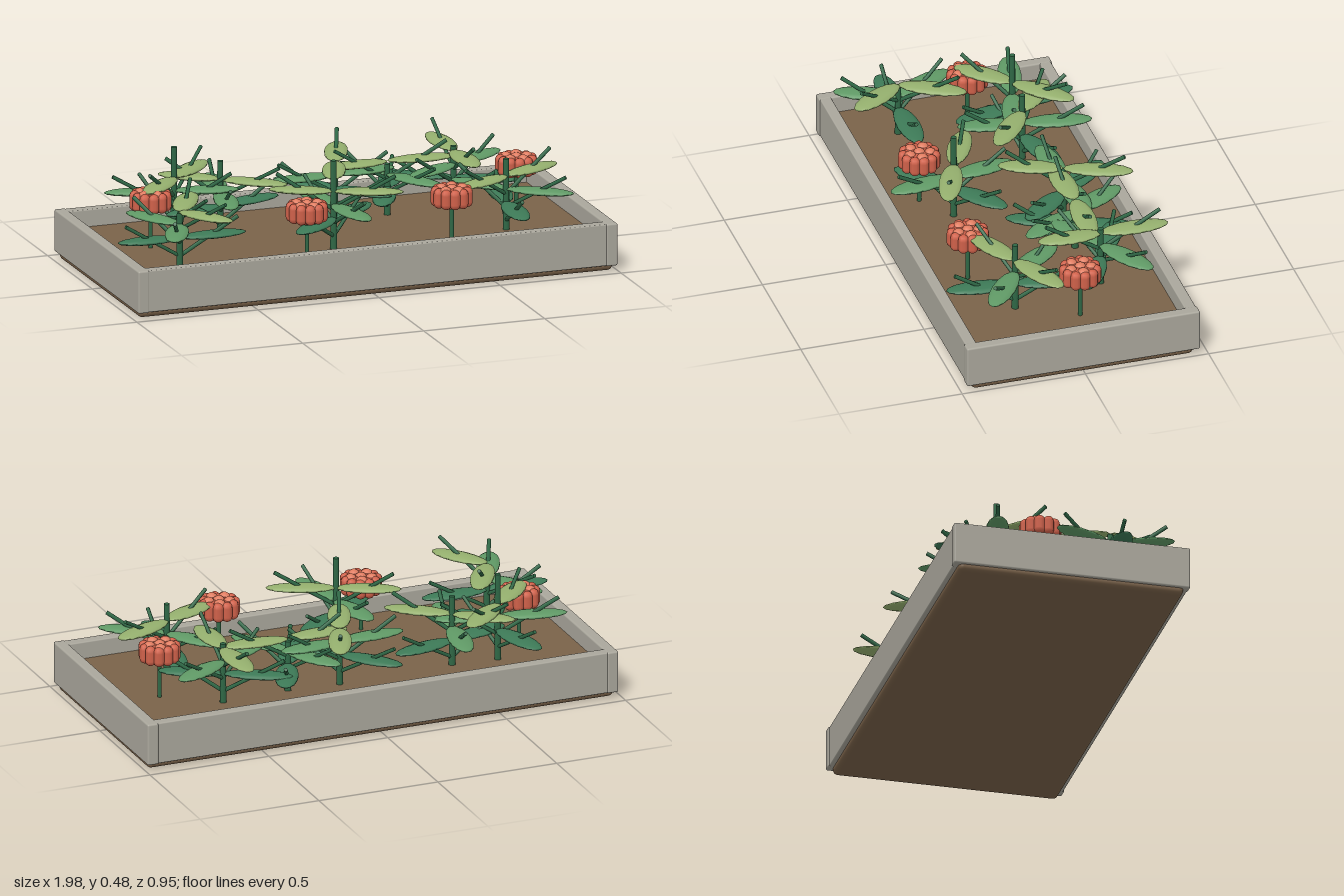
import * as THREE from 'three';
import { RoundedBoxGeometry } from 'three/addons/geometries/RoundedBoxGeometry.js';

const material = (name, color) => {
  const m = new THREE.MeshStandardMaterial({ color });
  m.name = name;
  return m;
};

export function createModel() {
  const model = new THREE.Group();
  model.name = 'planterBed';

  const stone = material('stone grey', 0xaaa79c);
  const earth = material('soil brown', 0x7a6249);
  const stemGreen = material('stem green', 0x2f6846);
  const leafGreens = [
    material('dark leaf green', 0x3d7a57),
    material('mid leaf green', 0x609a66),
    material('light leaf green', 0x95b06e),
  ];
  const coral = material('coral', 0xd0614a);
  const lightCoral = material('light coral', 0xe07c60);

  const add = (parent, name, geometry, mat, x = 0, y = 0, z = 0) => {
    const mesh = new THREE.Mesh(geometry, mat);
    mesh.name = name;
    mesh.position.set(x, y, z);
    parent.add(mesh);
    return mesh;
  };

  // Planter: soil bed with rounded base, long boards and slightly prouder end boards
  const cx = 0.005, cz = 0.005;
  add(model, 'soil', new RoundedBoxGeometry(1.96, 0.125, 0.9, 3, 0.02), earth, cx, 0.0625, cz);
  const longBoard = new RoundedBoxGeometry(1.93, 0.168, 0.045, 2, 0.005);
  const endBoard = new RoundedBoxGeometry(0.046, 0.17, 0.946, 2, 0.007);
  for (const s of [-1, 1]) {
    add(model, s > 0 ? 'frontBoard' : 'backBoard', longBoard, stone, cx, 0.11, cz + s * 0.446);
    add(model, s > 0 ? 'leftBoard' : 'rightBoard', endBoard, stone, cx + s * 0.967, 0.11, cz);
  }

  // Leaf: flattened spindle along +x; stalk: rod rising through the leaf
  const leafGeometry = new THREE.SphereGeometry(1, 10, 8);
  leafGeometry.rotateZ(-Math.PI / 2);
  leafGeometry.scale(0.137, 0.013, 0.048);
  leafGeometry.translate(0.137, 0, 0);
  const from = new THREE.Vector3(0.01, -0.068, 0), to = new THREE.Vector3(0.24, 0.064, 0);
  const stalkGeometry = new THREE.TubeGeometry(new THREE.LineCurve3(from, to), 1, 0.008, 6);
  const stalkEnd = new THREE.CircleGeometry(0.008, 6);
  stalkEnd.rotateY(Math.PI / 2);
  stalkEnd.rotateZ(Math.atan2(to.y - from.y, to.x - from.x));
  stalkEnd.translate(to.x, to.y, to.z);

  // Plants: x, z, stem top, height shift, then leaf angles (from +x towards +z)
  // for the dark, mid and light tiers
  const plants = [
    [-0.59, -0.197, 0.48, 0.005, [[-104, 76], [193, 15], [-44, 135]]],
    [-0.405, -0.18, 0.41, -0.015, [[-15, 165], [-80, 100], [38, 218]]],
    [0.075, -0.197, 0.35, 0.005, [[-130, 50], [177, -5], [-68, 112]]],
    [0.285, -0.18, 0.33, -0.01, [[115, -65], [60, -120], [3, 177]]],
    [0.565, -0.197, 0.37, 0, [[210, 30], [-30, 150], [-90, 90]]],
    [-0.722, 0.225, 0.34, -0.005, [[0, 180], [-118, 115], [-60, 57]]],
    [-0.077, 0.2, 0.48, 0.005, [[140, -37], [80, -100], [22, 207]]],
    [0.645, 0.175, 0.41, -0.01, [[95, -80], [36, -125], [-25, 155]]],
  ];
  for (const [x, z, top, shift, tiers] of plants) {
    const plant = new THREE.Group();
    plant.name = 'plant';
    plant.position.set(x, 0, z);
    model.add(plant);
    add(plant, 'stem', new THREE.CylinderGeometry(0.012, 0.014, top - 0.11, 8), stemGreen, 0, (top + 0.11) / 2);
    tiers.forEach((angles, tier) => angles.forEach((degrees, side) => {
      const shoot = new THREE.Group();
      shoot.name = 'shoot';
      shoot.position.y = 0.245 + tier * 0.053 + shift;
      shoot.rotation.y = -THREE.MathUtils.degToRad(degrees);
      shoot.scale.x = side ? 0.93 : 1;
      add(shoot, 'leaf', leafGeometry, leafGreens[tier]);
      add(shoot, 'stalk', stalkGeometry, stemGreen);
      add(shoot, 'stalkEnd', stalkEnd, stemGreen);
      plant.add(shoot);
    }));
  }

  // Flowers: lobed outer ring around a cluster of lighter buds
  const lobe = new THREE.CapsuleGeometry(0.022, 0.036, 4, 8);
  const bud = new THREE.SphereGeometry(0.026, 10, 8);
  const core = new THREE.CylinderGeometry(0.058, 0.05, 0.075, 12);
  const flowerStem = new THREE.CylinderGeometry(0.009, 0.009, 0.18, 8);
  for (const [x, z] of [[-0.737, -0.06], [-0.222, 0.295], [0.38, 0.285], [0.77, -0.05]]) {
    const flower = new THREE.Group();
    flower.name = 'flower';
    flower.position.set(x, 0, z);
    model.add(flower);
    add(flower, 'flowerStem', flowerStem, stemGreen, 0, 0.2);
    add(flower, 'flowerCore', core, coral, 0, 0.312);
    for (let i = 0; i < 11; i++) {
      const a = (i / 11) * Math.PI * 2;
      add(flower, 'petal', lobe, coral, Math.cos(a) * 0.062, 0.315, Math.sin(a) * 0.062);
    }
    for (let i = 0; i < 6; i++) {
      const a = (i / 5) * Math.PI * 2, r = i < 5 ? 0.043 : 0;
      add(flower, 'bud', bud, lightCoral, Math.cos(a) * r, 0.336, Math.sin(a) * r);
    }
  }
  return model;
}
